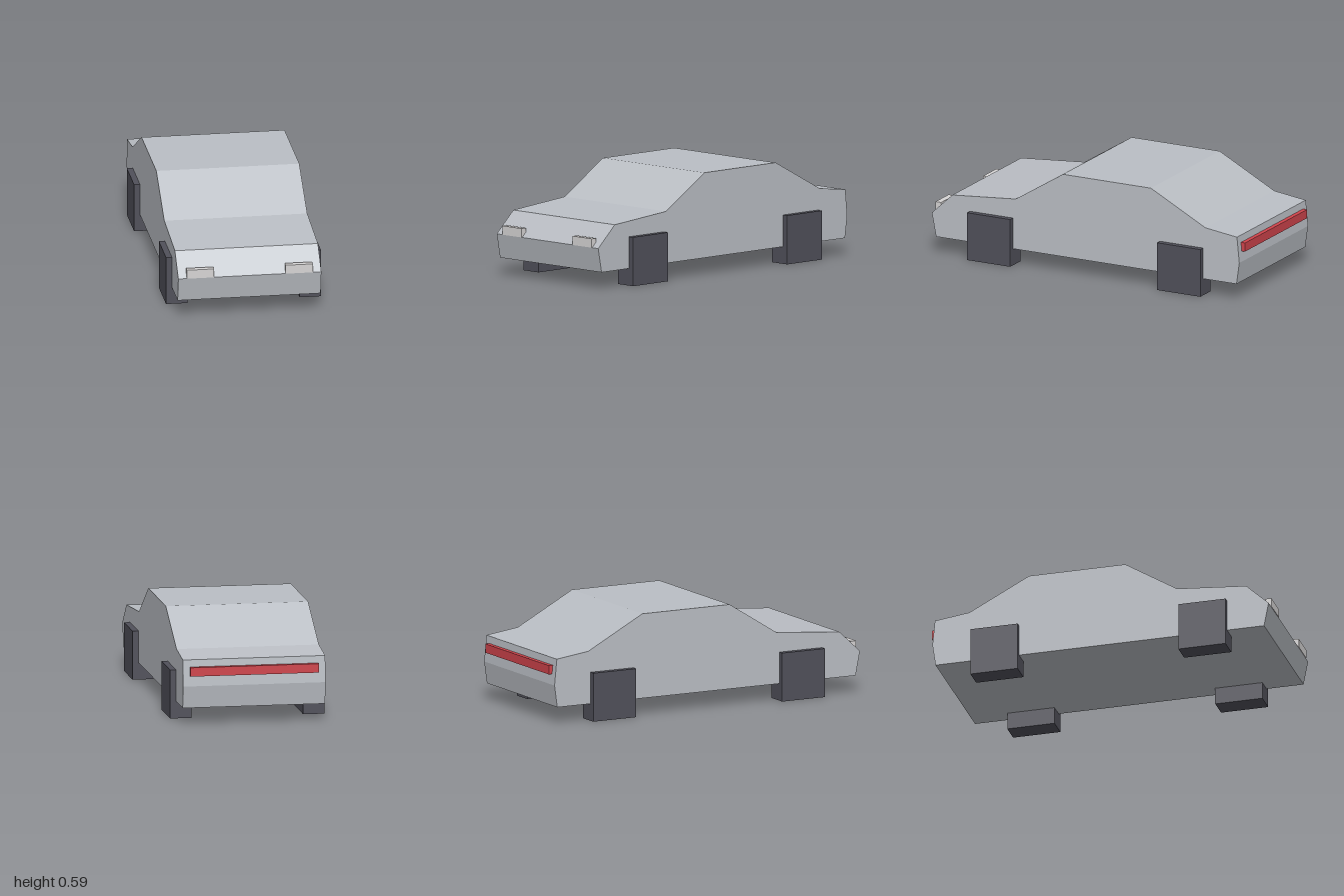
import * as THREE from 'three';

const material = (name, color) => {
  const m = new THREE.MeshStandardMaterial({ color });
  m.name = name;
  return m;
};

export function createModel() {
  const car = new THREE.Group();
  car.name = 'car';
  const silver = material('silver paint', 0xbabec4);
  const rubber = material('dark rubber', 0x50505a);
  const lamp = material('pale lamp', 0xd6d4d4);
  const red = material('red lamp', 0xd0444c);

  // Box given by its minimum and maximum corners
  const addBox = (name, mat, min, max) => {
    const size = max.map((v, i) => v - min[i]);
    const mesh = new THREE.Mesh(new THREE.BoxGeometry(...size), mat);
    mesh.position.set(...max.map((v, i) => (v + min[i]) / 2));
    mesh.name = name;
    car.add(mesh);
  };

  // Body: side profile as (z, y), extruded across the width
  const profile = [
    [0.97, 0.098], [0.997, 0.237], [0.865, 0.36], [0.457, 0.395], [0.152, 0.586],
    [-0.415, 0.586], [-0.767, 0.402], [-0.97, 0.376], [-0.985, 0.225], [-0.967, 0.098],
  ];
  const halfWidth = 0.41;
  const shape = new THREE.Shape(profile.map(([z, y]) => new THREE.Vector2(z, y)));
  const bodyGeometry = new THREE.ExtrudeGeometry(shape, { depth: halfWidth * 2, bevelEnabled: false });
  bodyGeometry.translate(0, 0, -halfWidth).rotateY(-Math.PI / 2);
  const body = new THREE.Mesh(bodyGeometry, silver);
  body.name = 'body';
  car.add(body);

  // Block wheels and headlights, mirrored left and right
  for (const [side, s] of [['left', 1], ['right', -1]]) {
    const across = (a, b) => (s > 0 ? [a, b] : [-b, -a]);
    const [w0, w1] = across(0.322, 0.444);
    addBox(`${side} front wheel`, rubber, [w0, 0, 0.474], [w1, 0.28, 0.752]);
    addBox(`${side} rear wheel`, rubber, [w0, 0, -0.752], [w1, 0.28, -0.474]);
    const [h0, h1] = across(0.205, 0.361);
    addBox(`${side} headlight`, lamp, [h0, 0.237, 0.965], [h1, 0.288, 1]);
  }

  // Full-width tail light bar
  addBox('tail light', red, [-0.37, 0.284, -1], [0.37, 0.335, -0.97]);

  return car;
}
